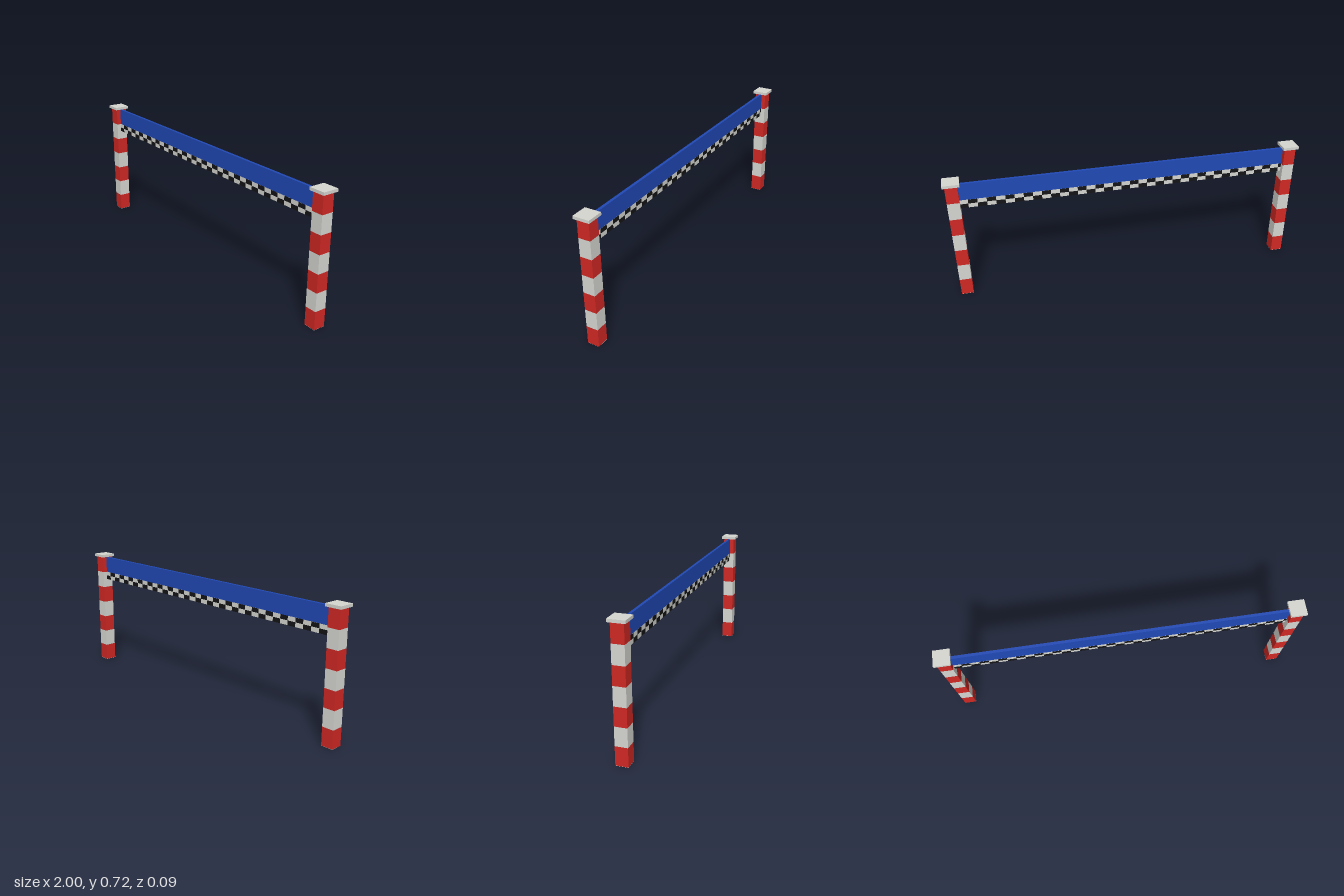
import * as THREE from 'three';

const mat = (color) => new THREE.MeshStandardMaterial({ color, flatShading: true });
const RED = mat(0xd02824), WHITE = mat(0xd6d6d1), BLUE = mat(0x2049b6), BLACK = mat(0x141416);

const POST_X = 0.9545, POST_W = 0.067, POST_H = 0.707, STRIPES = 7;
const INNER = POST_X - POST_W / 2;
const THICK = 0.016;

function box(name, w, h, d, material, x, y, z = 0) {
  const mesh = new THREE.Mesh(new THREE.BoxGeometry(w, h, d), material);
  mesh.name = name;
  mesh.position.set(x, y, z);
  return mesh;
}

// Square striped post with a pale foot and a flat cap
function createPost(name, x) {
  const post = new THREE.Group();
  post.name = name;
  post.position.x = x;
  const foot = 0.001, h = (POST_H - foot) / STRIPES;
  post.add(box('postFoot', POST_W, foot, POST_W, WHITE, 0, foot / 2));
  for (let i = 0; i < STRIPES; i++) {
    post.add(box('postStripe', POST_W, h, POST_W, i % 2 ? WHITE : RED, 0, foot + h * (i + 0.5)));
  }
  post.add(box('postCap', 0.091, 0.016, 0.091, WHITE, 0, POST_H + 0.008));
  return post;
}

// Dark tiles for one face of the chequered strip
function createChecks(name, bottom, top) {
  const checks = new THREE.Group();
  checks.name = name;
  const cell = 0.0495, start = -0.9275, rowH = (top - bottom) / 2;
  for (let row = 0; row < 2; row++) {
    for (let i = row; start + i * cell < INNER; i += 2) {
      const x0 = Math.max(start + i * cell, -INNER);
      const x1 = Math.min(start + (i + 1) * cell, INNER);
      const tile = new THREE.Mesh(new THREE.PlaneGeometry(x1 - x0, rowH), BLACK);
      tile.name = 'darkCheck';
      tile.position.set((x0 + x1) / 2, bottom + rowH * (row + 0.5), THICK / 2 + 0.0008);
      checks.add(tile);
    }
  }
  return checks;
}

export function createModel() {
  const model = new THREE.Group();
  model.name = 'finishGate';

  model.add(createPost('leftPost', POST_X), createPost('rightPost', -POST_X));

  // Blue banner over a pale strip spanning the posts
  const bottom = 0.558, seam = 0.607, top = 0.705;
  model.add(box('banner', INNER * 2, top - seam, THICK, BLUE, 0, (top + seam) / 2));
  model.add(box('checkStrip', INNER * 2, seam - bottom, THICK, WHITE, 0, (seam + bottom) / 2));

  // Both faces carry the checks, the back turned half round
  const back = createChecks('backChecks', bottom, seam);
  back.rotation.y = Math.PI;
  model.add(createChecks('frontChecks', bottom, seam), back);

  return model;
}
